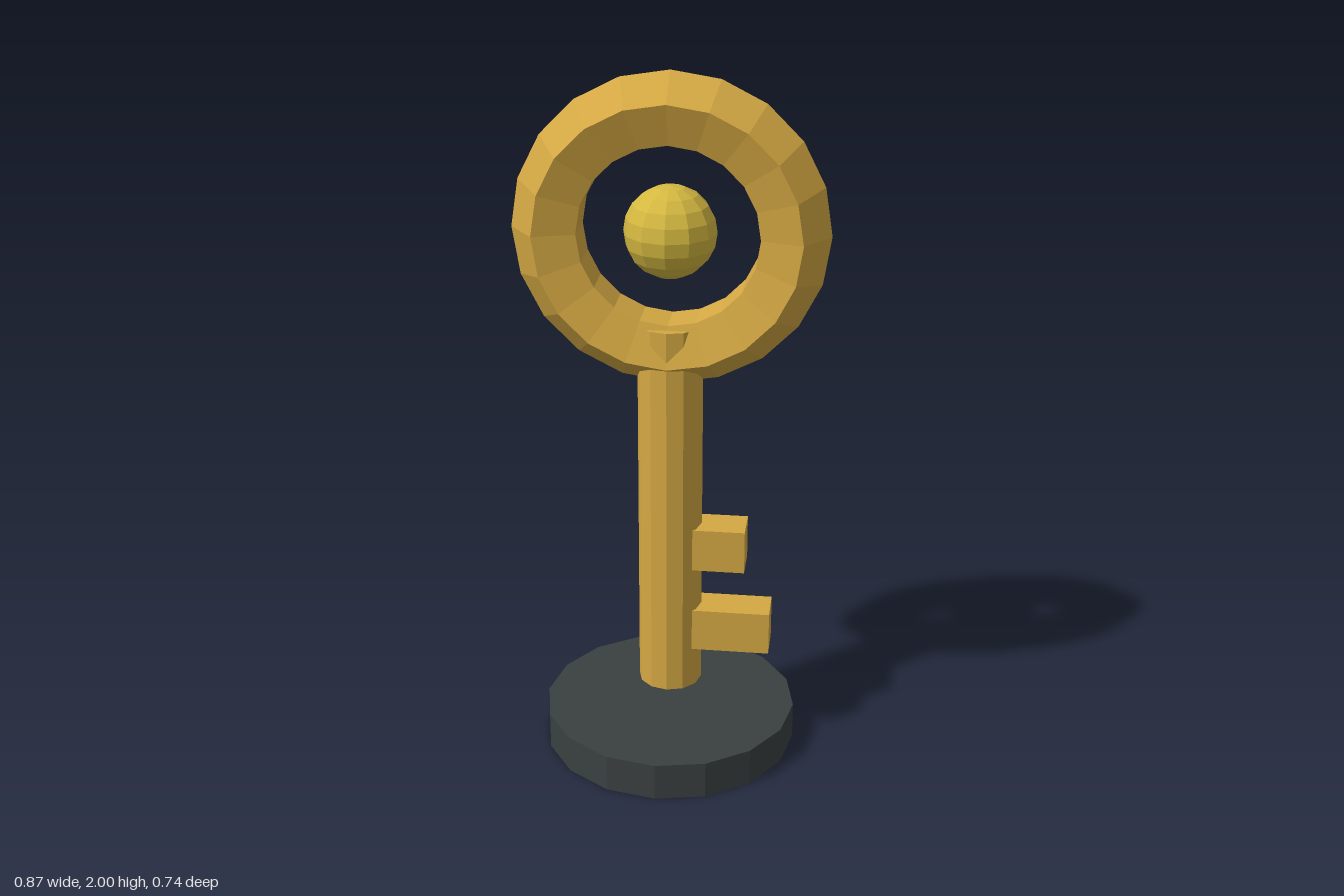
import * as THREE from 'three';

export function createModel() {
  const group = new THREE.Group();

  const material = (name, color) => {
    const m = new THREE.MeshStandardMaterial({ color, flatShading: true });
    m.name = name;
    return m;
  };
  const gold = material('gold', 0xd4a843);
  const yellowGold = material('yellowGold', 0xd4b840);
  const slate = material('slate', 0x3a4040);

  const add = (name, geometry, mat, x, y, z = 0) => {
    const mesh = new THREE.Mesh(geometry, mat);
    mesh.name = name;
    mesh.position.set(x, y, z);
    group.add(mesh);
    return mesh;
  };

  // Round stand, with the key floating just above it
  add('base', new THREE.CylinderGeometry(0.37, 0.37, 0.11, 16), slate, 0, 0.055);

  // Shaft, its upper end running into the ring
  const shaftBottom = 0.19, shaftTop = 1.305;
  add('shaft', new THREE.CylinderGeometry(0.092, 0.092, shaftTop - shaftBottom, 12),
    gold, 0, (shaftBottom + shaftTop) / 2);

  // Five-sided ring handle with a gem floating in the middle
  const ringY = 1.565;
  add('ringHandle', new THREE.TorusGeometry(0.332, 0.103, 5, 20), gold, 0, ringY);
  add('centreBall', new THREE.SphereGeometry(0.128, 12, 10), yellowGold, 0, ringY);

  // Two teeth on the model's left side: name, outer x, centre y
  const toothInner = 0.07;
  for (const [name, outer, y] of [['upperTooth', 0.22, 0.636], ['lowerTooth', 0.295, 0.376]]) {
    add(name, new THREE.BoxGeometry(outer - toothInner, 0.128, 0.112), gold,
      (toothInner + outer) / 2, y);
  }

  return group;
}
